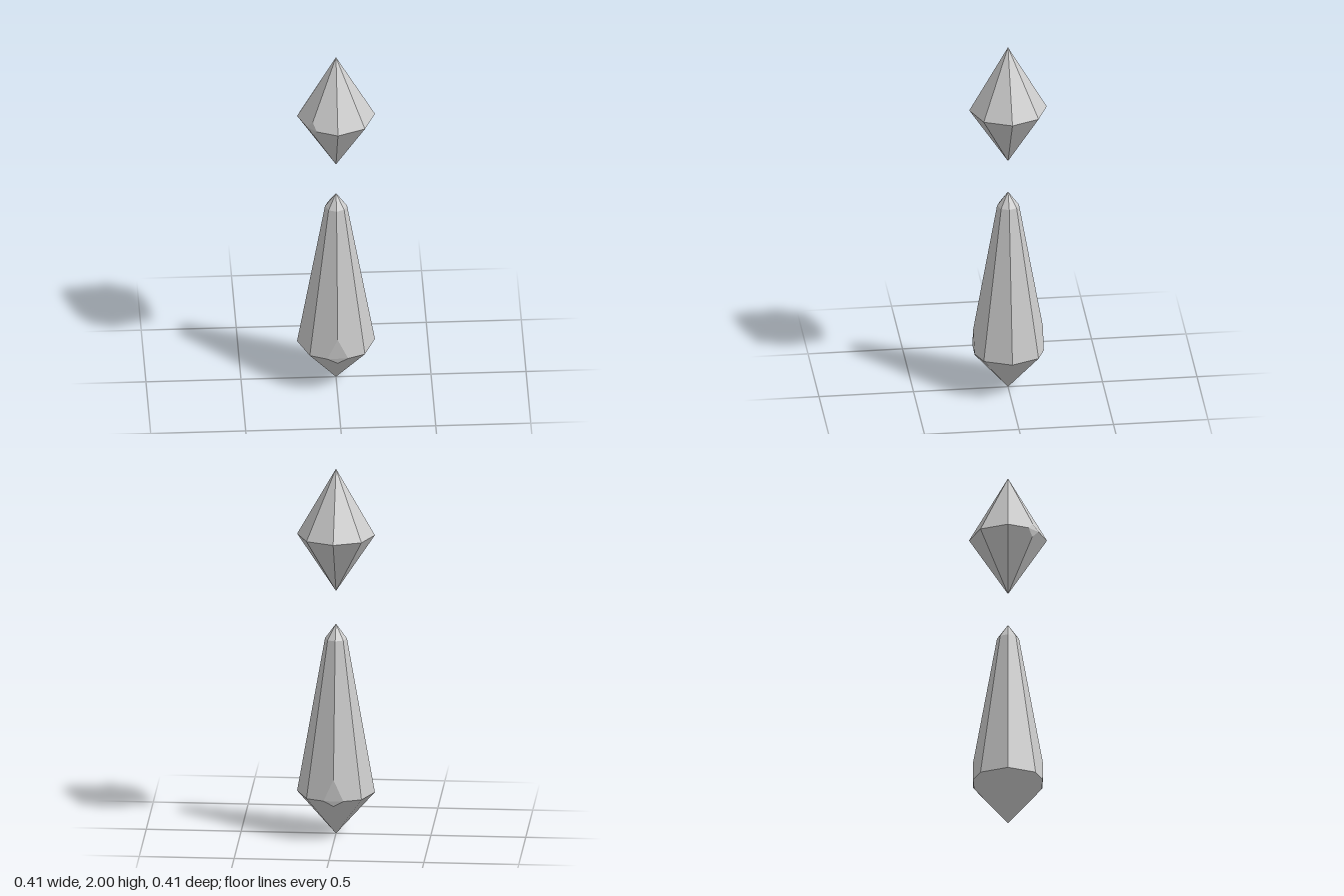
import * as THREE from 'three';
import { ConvexGeometry } from 'three/addons/geometries/ConvexGeometry.js';

const SIDES = 8;

// Corner number i of an octagon ring; 0 = +x, 2 = +z, 4 = -x, 6 = -z
function corner(radius, y, i) {
  const a = (i / SIDES) * Math.PI * 2;
  return new THREE.Vector3(Math.cos(a) * radius, y, Math.sin(a) * radius);
}

// Faceted crystal from [radius, y] rings, bottom to top. The girdle is ring 1;
// chips maps a girdle corner to how far its cut runs [down, up, sideways].
function crystal(name, profile, chips, material) {
  const points = [];
  profile.forEach(([radius, y], ring) => {
    if (radius === 0) {
      points.push(new THREE.Vector3(0, y, 0));
      return;
    }
    for (let i = 0; i < SIDES; i++) {
      const p = corner(radius, y, i);
      const chip = ring === 1 && chips[i];
      if (!chip) {
        points.push(p);
        continue;
      }
      // replace the chipped corner by points along its four edges
      const [down, up, side] = chip;
      points.push(
        p.clone().lerp(corner(...profile[ring - 1], i), down),
        p.clone().lerp(corner(...profile[ring + 1], i), up),
        p.clone().lerp(corner(radius, y, i - 1), side),
        p.clone().lerp(corner(radius, y, i + 1), side)
      );
    }
  });
  const mesh = new THREE.Mesh(new ConvexGeometry(points), material);
  mesh.name = name;
  return mesh;
}

export function createModel() {
  const group = new THREE.Group();
  group.name = 'floatingCrystals';
  const material = new THREE.MeshStandardMaterial({ color: 0xcccccc, flatShading: true });

  // Tall shard with worn front and back corners
  group.add(crystal(
    'lowerCrystal',
    [[0, 0], [0.205, 0.23], [0.058, 1.07], [0, 1.15]],
    { 2: [0.14, 0.14, 0.38], 6: [0.13, 0.14, 0.36] },
    material
  ));

  // Small double-pointed crystal hovering above, one corner nicked
  group.add(crystal(
    'upperCrystal',
    [[0, 1.33], [0.205, 1.64], [0, 2]],
    { 3: [0.12, 0.11, 0.25] },
    material
  ));

  return group;
}
